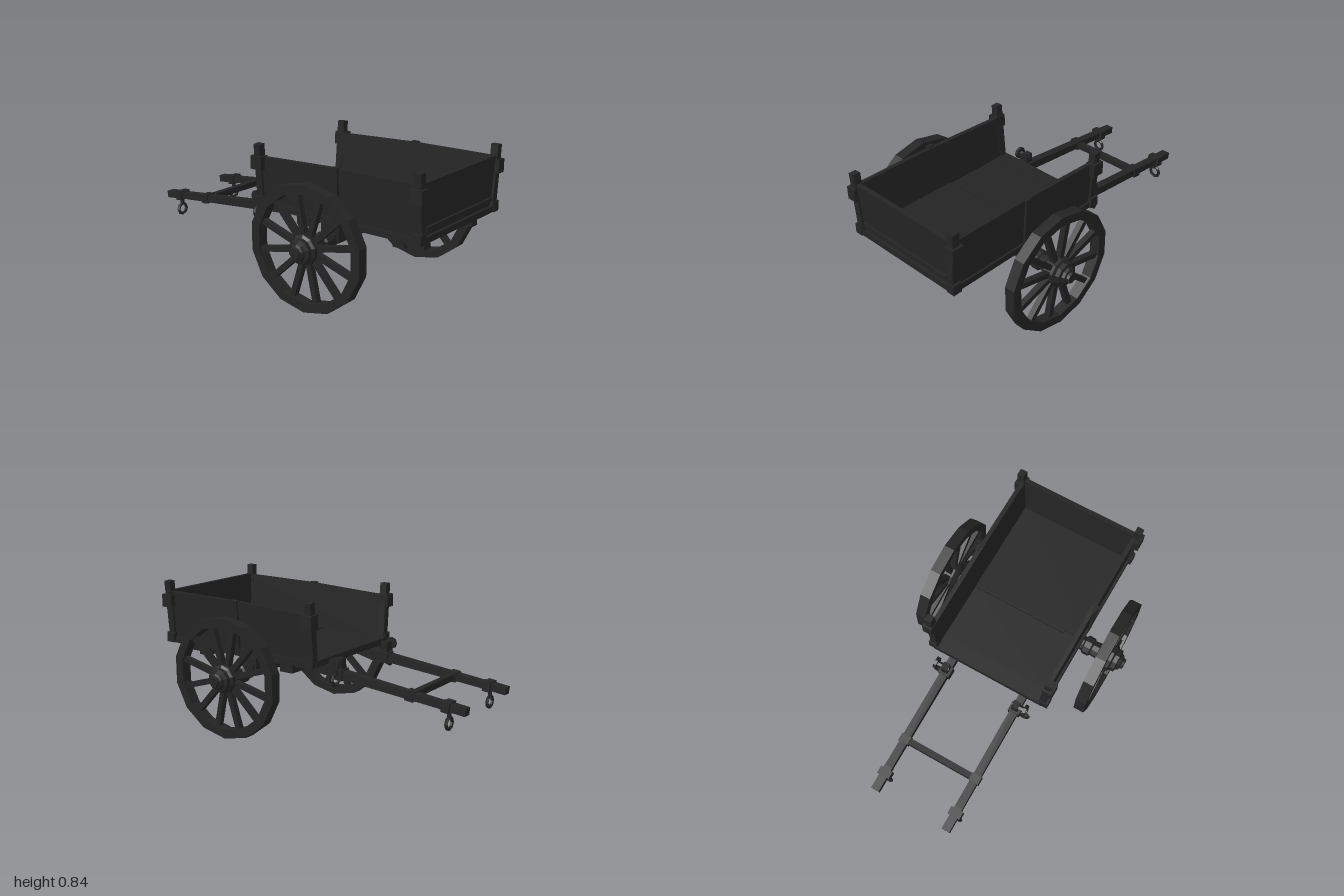
import * as THREE from 'three';

const wood = new THREE.MeshStandardMaterial({ color: 0x242424, flatShading: true });
wood.name = 'darkWood';

function add(parent, name, geo, x = 0, y = 0, z = 0) {
  const m = new THREE.Mesh(geo, wood);
  m.name = name;
  m.position.set(x, y, z);
  parent.add(m);
  return m;
}

// Box given by its min and max on each axis
function box(parent, name, x0, x1, y0, y1, z0, z1) {
  return add(parent, name, new THREE.BoxGeometry(x1 - x0, y1 - y0, z1 - z0),
    (x0 + x1) / 2, (y0 + y1) / 2, (z0 + z1) / 2);
}

// Square bar between two points of the x-y plane, tapering from size s0 to s1
function bar(parent, name, a, b, z, s0, s1, depth) {
  const dx = b[0] - a[0], dy = b[1] - a[1], len = Math.hypot(dx, dy);
  const geo = new THREE.BoxGeometry(len, 1, depth);
  const p = geo.attributes.position;
  for (let i = 0; i < p.count; i++) p.setY(i, p.getY(i) * (p.getX(i) < 0 ? s0 : s1));
  const m = add(parent, name, geo, (a[0] + b[0]) / 2, (a[1] + b[1]) / 2, z);
  m.rotation.z = Math.atan2(dy, dx);
  return m;
}

function wheel(side) {
  const g = new THREE.Group();
  g.name = side > 0 ? 'frontWheel' : 'backWheel';
  // Faceted rim
  const rim = new THREE.Shape(), hole = new THREE.Path(), n = 14;
  for (let i = 0; i < n; i++) {
    const a = (i + 0.5) / n * Math.PI * 2, c = Math.cos(a), s = Math.sin(a);
    if (i) { rim.lineTo(0.372 * c, 0.355 * s); hole.lineTo(0.318 * c, 0.303 * s); }
    else { rim.moveTo(0.372 * c, 0.355 * s); hole.moveTo(0.318 * c, 0.303 * s); }
  }
  rim.closePath();
  hole.closePath();
  rim.holes.push(hole);
  add(g, 'rim', new THREE.ExtrudeGeometry(rim, { depth: 0.064, bevelEnabled: false }), 0, 0, -0.032);
  // Spokes
  for (let i = 0; i < 12; i++) {
    const a = i / 12 * Math.PI * 2 + 0.22;
    const spoke = add(g, 'spoke', new THREE.BoxGeometry(0.27, 0.032, 0.034),
      Math.cos(a) * 0.185, Math.sin(a) * 0.18, 0);
    spoke.rotation.z = a;
  }
  // Turned hub, from the body outwards
  const profile = [[0, -0.2], [0.045, -0.2], [0.045, -0.16], [0.058, -0.15], [0.058, -0.11], [0.046, -0.1],
    [0.05, -0.06], [0.068, -0.05], [0.085, -0.03], [0.085, 0.035], [0.07, 0.045], [0.07, 0.07],
    [0.052, 0.075], [0.045, 0.09], [0.034, 0.095], [0.03, 0.11], [0, 0.11]]
    .map(([r, y]) => new THREE.Vector2(r, y));
  const hub = add(g, 'hub', new THREE.LatheGeometry(profile, 10));
  hub.rotation.x = side * Math.PI / 2;
  g.position.set(0.38, 0.347, side * 0.543);
  return g;
}

function hangingRing(parent, x, y, z) {
  add(parent, 'ringStem', new THREE.CylinderGeometry(0.012, 0.012, 0.05, 6), x, y + 0.055, z);
  const ring = add(parent, 'ring', new THREE.TorusGeometry(0.033, 0.01, 5, 8), x, y, z);
  ring.rotation.y = Math.PI / 2;
}

export function createModel() {
  const cart = new THREE.Group();
  cart.name = 'cart';

  // Cargo bed, open towards the shafts
  const bed = new THREE.Group();
  bed.name = 'bed';
  cart.add(bed);
  box(bed, 'frontFloor', -0.04, 0.34, 0.455, 0.478, -0.355, 0.355);
  box(bed, 'rearFloor', 0.34, 0.96, 0.455, 0.486, -0.355, 0.355);
  box(bed, 'floorSeam', 0.325, 0.34, 0.478, 0.492, -0.33, 0.26);
  box(bed, 'frontSill', -0.125, -0.03, 0.445, 0.482, -0.36, 0.36);
  box(bed, 'rearSill', 0.94, 0.985, 0.45, 0.485, -0.37, 0.37);
  const tail = box(bed, 'tailboard', 0.945, 0.972, 0.46, 0.768, -0.37, 0.37);
  tail.rotation.z = -0.03;
  box(bed, 'tailLedge', 0.96, 0.983, 0.515, 0.535, -0.33, 0.33);

  for (const s of [1, -1]) {
    // Side wall with a slightly rising top edge, leaning outwards
    const shape = new THREE.Shape([[-0.11, 0.45], [0.96, 0.45], [0.96, 0.763], [0.45, 0.76], [-0.11, 0.738]]
      .map(([x, y]) => new THREE.Vector2(x, y)));
    const geo = new THREE.ExtrudeGeometry(shape, { depth: 0.026, bevelEnabled: false });
    const p = geo.attributes.position;
    for (let i = 0; i < p.count; i++) {
      p.setZ(i, p.getZ(i) - 0.013 + s * (0.352 + (p.getY(i) - 0.45) * 0.06));
    }
    geo.computeVertexNormals();
    add(bed, 'sideWall', geo);
    const stake = box(bed, 'sideStake', 0.42, 0.46, 0.44, 0.765, s * 0.375 - 0.014, s * 0.375 + 0.014);
    stake.rotation.x = s * 0.05;
    box(bed, 'bottomRail', -0.1, 0.96, 0.445, 0.48, s * 0.362 - 0.018, s * 0.362 + 0.018);

    // Corner posts with binding blocks
    for (const [x, top] of [[-0.095, 0.812], [0.962, 0.828]]) {
      const post = box(bed, 'cornerPost', x - 0.022, x + 0.022, 0.45, top, s * 0.37 - 0.021, s * 0.37 + 0.021);
      post.rotation.x = s * 0.08;
      box(bed, 'postBlock', x - 0.037, x + 0.037, 0.668, 0.745, s * 0.385 - 0.03, s * 0.385 + 0.03);
      box(bed, 'postFoot', x - 0.028, x + 0.028, 0.448, 0.508, s * 0.37 - 0.025, s * 0.37 + 0.025);
    }
  }

  // Undercarriage: lengthwise rails, crossbeams and axle
  const frame = new THREE.Group();
  frame.name = 'undercarriage';
  cart.add(frame);
  for (const s of [1, -1]) {
    box(frame, 'rail', -0.02, 0.92, 0.395, 0.455, s * 0.24 - 0.024, s * 0.24 + 0.024);
    box(frame, 'railEnd', 0.82, 0.93, 0.382, 0.45, s * 0.24 - 0.03, s * 0.24 + 0.03);
    box(frame, 'axleBlock', 0.32, 0.44, 0.335, 0.43, s * 0.31 - 0.04, s * 0.31 + 0.04);
  }
  box(frame, 'frontCrossbeam', 0.1, 0.19, 0.36, 0.42, -0.29, 0.29);
  box(frame, 'rearCrossbeam', 0.75, 0.82, 0.37, 0.45, -0.29, 0.29);
  box(frame, 'bolster', 0.34, 0.42, 0.37, 0.455, -0.2, 0.2);
  box(frame, 'axle', 0.335, 0.425, 0.325, 0.385, -0.36, 0.36);
  cart.add(wheel(1), wheel(-1));

  // Pulling shafts with collars, hitch pins and rings
  const shafts = new THREE.Group();
  shafts.name = 'shafts';
  cart.add(shafts);
  for (const s of [1, -1]) {
    const z = s * 0.235;
    bar(shafts, 'shaft', [-0.9, 0.331], [0.1, 0.427], z, 0.038, 0.056, 0.048);
    bar(shafts, 'shaftTip', [-1, 0.321], [-0.85, 0.337], z, 0.042, 0.044, 0.05);
    bar(shafts, 'tipCollar', [-0.91, 0.33], [-0.865, 0.335], z, 0.056, 0.056, 0.078);
    bar(shafts, 'crossbarCollar', [-0.69, 0.35], [-0.64, 0.356], z, 0.056, 0.056, 0.062);
    bar(shafts, 'rearCollar', [-0.23, 0.396], [-0.17, 0.402], z, 0.065, 0.065, 0.07);
    hangingRing(shafts, -0.895, 0.24, z);
    // Hitch pin standing on the shaft
    const pin = add(shafts, 'hitchPin', new THREE.CylinderGeometry(0.016, 0.016, 0.1, 6), -0.2, 0.468, s * 0.26);
    pin.rotation.x = Math.PI / 2;
    box(shafts, 'pinBase', -0.222, -0.178, 0.42, 0.49, z - 0.02, z + 0.02);
    const knob = add(shafts, 'pinKnob', new THREE.CylinderGeometry(0.036, 0.036, 0.018, 8), -0.2, 0.468, s * 0.295);
    knob.rotation.x = Math.PI / 2;
    hangingRing(shafts, -0.2, 0.372, s * 0.285);
  }
  box(shafts, 'crossbar', -0.683, -0.647, 0.335, 0.371, -0.24, 0.24);
  return cart;
}
